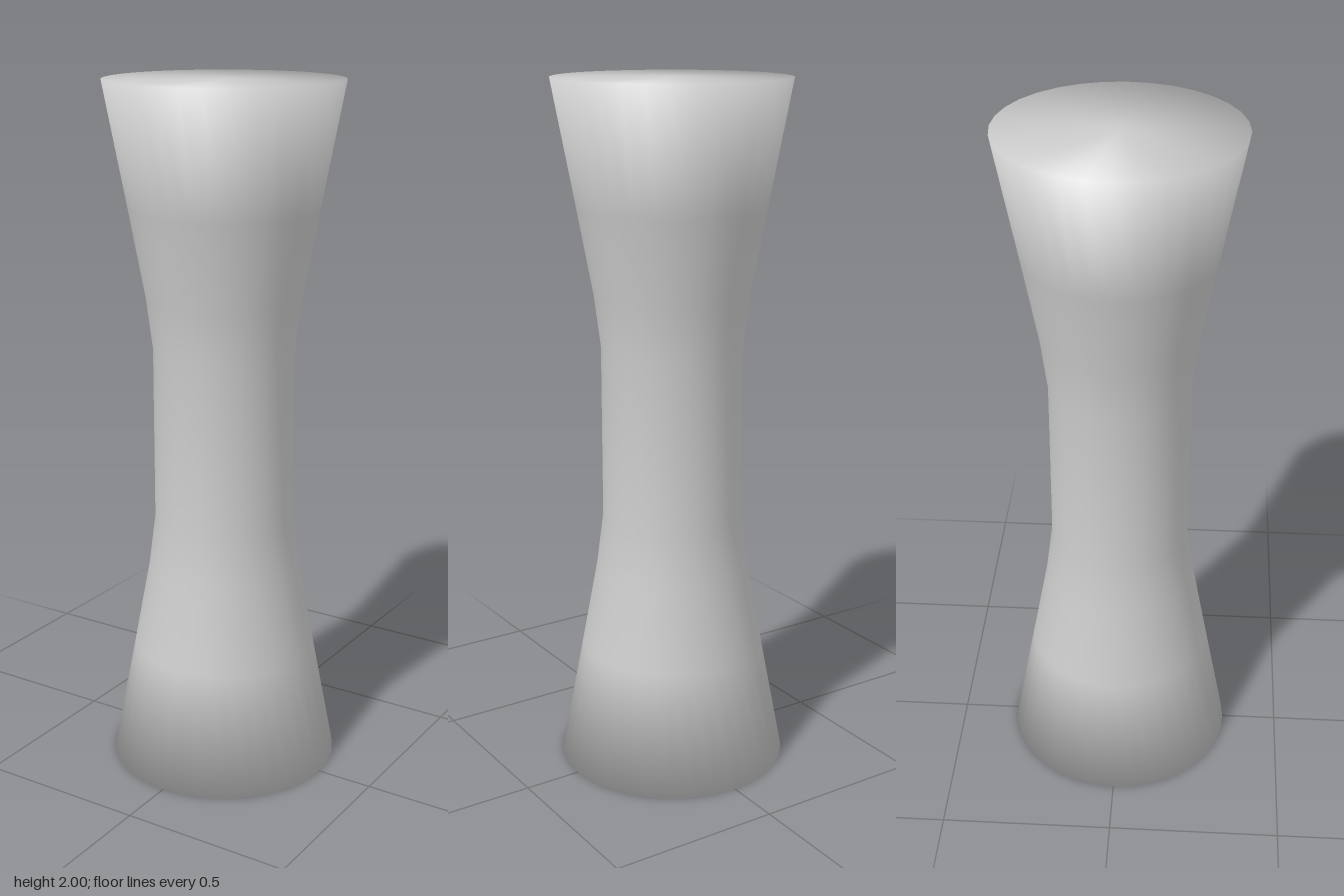
import * as THREE from 'three';

const SIDES = 32;

// Outline from the bottom centre to the top centre, as (radius, height)
const lowerHalf = [[0, 0], [0.333, 0], [0.267, 0.35], [0.221, 0.6], [0.202, 0.75]];
const upperHalf = lowerHalf.map(([r, y]) => [r, 2 - y]).reverse();
const profile = [...lowerHalf, ...upperHalf].map(([r, y]) => new THREE.Vector2(r, y));

// Outward normal at each outline point: the mean of its two neighbouring segments
function profileNormals(points) {
  const segments = points.slice(1).map((p, i) => {
    const d = p.clone().sub(points[i]).normalize();
    return new THREE.Vector2(d.y, -d.x);
  });
  const last = points.length - 1;
  const normals = points.map((p, i) =>
    segments[Math.max(i - 1, 0)].clone().add(segments[Math.min(i, last - 1)]).normalize());
  // The end caps blend evenly from rim to rim
  normals[0].set(0, normals[1].y);
  normals[last].set(0, normals[last - 1].y);
  return normals;
}

export function createModel() {
  const group = new THREE.Group();
  group.name = 'waistedColumn';

  // Flared column with closed ends, softly shaded over the rims
  const geometry = new THREE.LatheGeometry(profile, SIDES);
  const normals = profileNormals(profile);
  const attribute = geometry.attributes.normal;
  for (let i = 0; i < attribute.count; i++) {
    const n = normals[i % profile.length];
    const angle = Math.floor(i / profile.length) * Math.PI * 2 / SIDES;
    attribute.setXYZ(i, n.x * Math.sin(angle), n.y, n.x * Math.cos(angle));
  }

  const column = new THREE.Mesh(geometry, new THREE.MeshStandardMaterial({ color: 0xcccccc }));
  column.name = 'column';
  group.add(column);
  return group;
}
